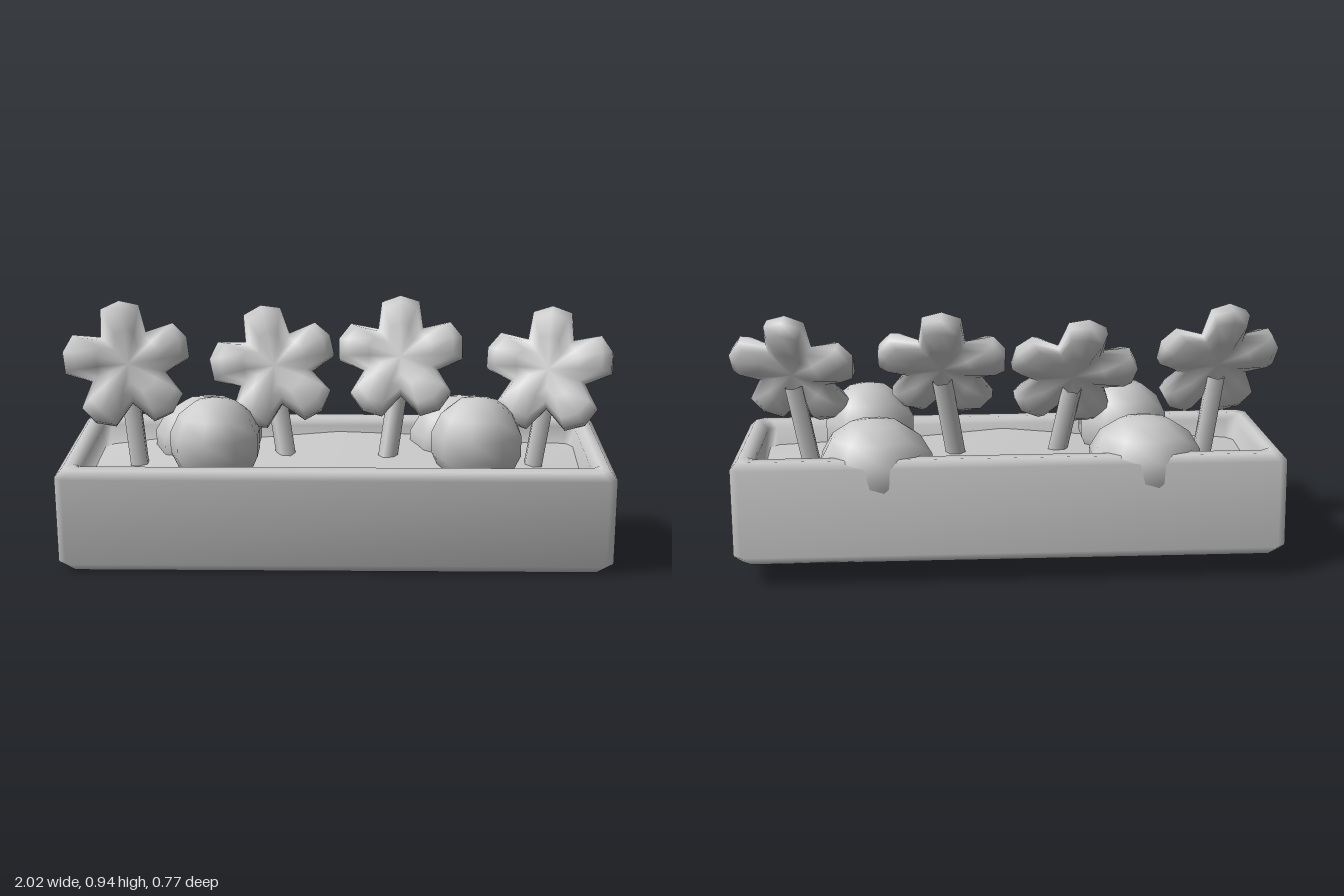
import * as THREE from 'three';
import { mergeVertices } from 'three/addons/utils/BufferGeometryUtils.js';

const material = new THREE.MeshStandardMaterial({ color: 0xcccccc, side: THREE.DoubleSide });

function addMesh(parent, name, geometry) {
  const mesh = new THREE.Mesh(geometry, material);
  mesh.name = name;
  parent.add(mesh);
  return mesh;
}

// Weld a geometry so its shading runs smoothly across every edge
function smooth(geometry) {
  geometry.deleteAttribute('normal');
  geometry.deleteAttribute('uv');
  const welded = mergeVertices(geometry, 1e-4);
  welded.computeVertexNormals();
  return welded;
}

// Hollow trough: rectangular loops with cut corners, [half x, half z, y]
function troughGeometry() {
  const loops = [
    [0.955, 0.34, -0.187], [0.985, 0.368, -0.155], [0.985, 0.366, 0.16], [0.96, 0.34, 0.187],
    [0.93, 0.295, 0.187], [0.905, 0.262, 0.165], [0.895, 0.25, 0.04],
  ];
  const c = 0.03, positions = [], index = [];
  for (const [x, z, y] of loops) {
    const ring = [[x, z - c], [x, c - z], [x - c, -z], [c - x, -z], [-x, c - z], [-x, z - c], [c - x, z], [x - c, z]];
    for (const [px, pz] of ring) positions.push(px, y, pz);
  }
  for (let i = 0; i < loops.length - 1; i++) {
    for (let j = 0; j < 8; j++) {
      const a = i * 8 + j, b = i * 8 + (j + 1) % 8;
      index.push(a, b, b + 8, a, b + 8, a + 8);
    }
  }
  // Underside and inner floor
  const last = (loops.length - 1) * 8;
  for (let j = 1; j < 7; j++) {
    index.push(0, j + 1, j);
    index.push(last, last + j, last + j + 1);
  }
  const g = new THREE.BufferGeometry();
  g.setAttribute('position', new THREE.Float32BufferAttribute(positions, 3));
  g.setIndex(index);
  g.computeVertexNormals();
  return g;
}

// Soil: a plane heaped up gently towards the middle
function soilGeometry() {
  const g = new THREE.PlaneGeometry(1.8, 0.52, 6, 2).rotateX(-Math.PI / 2);
  const p = g.attributes.position;
  for (let i = 0; i < p.count; i++) {
    const x = p.getX(i);
    p.setY(i, 0.075 + 0.06 * (1 - x * x) + 0.012 * Math.sin(i * 2.3));
  }
  g.computeVertexNormals();
  return g;
}

// Flower head: a lathed disc whose radius and thickness swell into five petals
function flowerGeometry() {
  const profile = [[0, -0.025], [0.5, -0.05], [0.85, -0.045], [1, -0.02], [1, 0.02], [0.85, 0.045], [0.5, 0.05], [0, 0.025]]
    .map(([r, y]) => new THREE.Vector2(r, y));
  const g = new THREE.LatheGeometry(profile, 20);
  const p = g.attributes.position;
  const reach = [0.24, 0.228, 0.142, 0.228];
  const puff = [1.15, 0.95, 0.5, 0.95];
  for (let i = 0; i < p.count; i++) {
    const step = Math.floor(i / profile.length) % 4;
    const r = Math.hypot(p.getX(i), p.getZ(i));
    const thick = r < 0.01 ? 1 : puff[step];
    p.setXYZ(i, p.getX(i) * reach[step], p.getY(i) * thick, p.getZ(i) * reach[step]);
  }
  // Face forwards with one petal pointing up
  g.rotateX(Math.PI / 2).rotateZ(Math.PI);
  return smooth(g);
}

export function createModel() {
  const model = new THREE.Group();
  model.name = 'flowerBox';

  // Trough and soil, tipped forwards
  const box = new THREE.Group();
  box.name = 'planter';
  box.position.y = 0.23;
  box.rotation.x = 0.13;
  model.add(box);
  addMesh(box, 'trough', troughGeometry());
  addMesh(box, 'soil', soilGeometry());

  // Bushes: round ones in front, broad ones over the back rim
  const bushes = [
    ['frontBush', -0.44, 0.425, 0.1, 0.17, 0.17, 0.17],
    ['frontBush', 0.51, 0.43, 0.1, 0.17, 0.17, 0.17],
    ['backBush', -0.49, 0.385, -0.175, 0.21, 0.17, 0.19],
    ['backBush', 0.48, 0.385, -0.175, 0.21, 0.175, 0.19],
  ];
  const bushGeometry = smooth(new THREE.SphereGeometry(1, 9, 7));
  for (const [name, x, y, z, sx, sy, sz] of bushes) {
    const bush = addMesh(model, name, bushGeometry);
    bush.position.set(x, y, z);
    bush.scale.set(sx, sy, sz);
    bush.rotation.x = 0.1;
  }

  // Flowers: head centre, [lean, yaw, roll] and foot of the stem
  const flowers = [
    { head: [-0.77, 0.695, 0.015], turn: [-0.32, 0.22, 0.1], foot: -0.73 },
    { head: [-0.235, 0.68, -0.05], turn: [-0.42, 0.08, 0.2], foot: -0.18 },
    { head: [0.235, 0.715, -0.045], turn: [-0.45, -0.08, 0.03], foot: 0.18 },
    { head: [0.775, 0.68, 0.02], turn: [-0.38, -0.25, 0], foot: 0.72 },
  ];
  const headGeometry = flowerGeometry();
  for (const { head, turn, foot } of flowers) {
    const flower = new THREE.Group();
    flower.name = 'flower';
    model.add(flower);
    const bloom = addMesh(flower, 'bloom', headGeometry);
    bloom.position.set(...head);
    bloom.rotation.set(turn[0], turn[1], turn[2], 'YXZ');
    const stemPath = new THREE.LineCurve3(
      new THREE.Vector3(foot, 0.3, 0.01),
      new THREE.Vector3(head[0], head[1] - 0.05, head[2] - 0.02));
    addMesh(flower, 'stem', new THREE.TubeGeometry(stemPath, 1, 0.036, 6));
  }
  return model;
}
